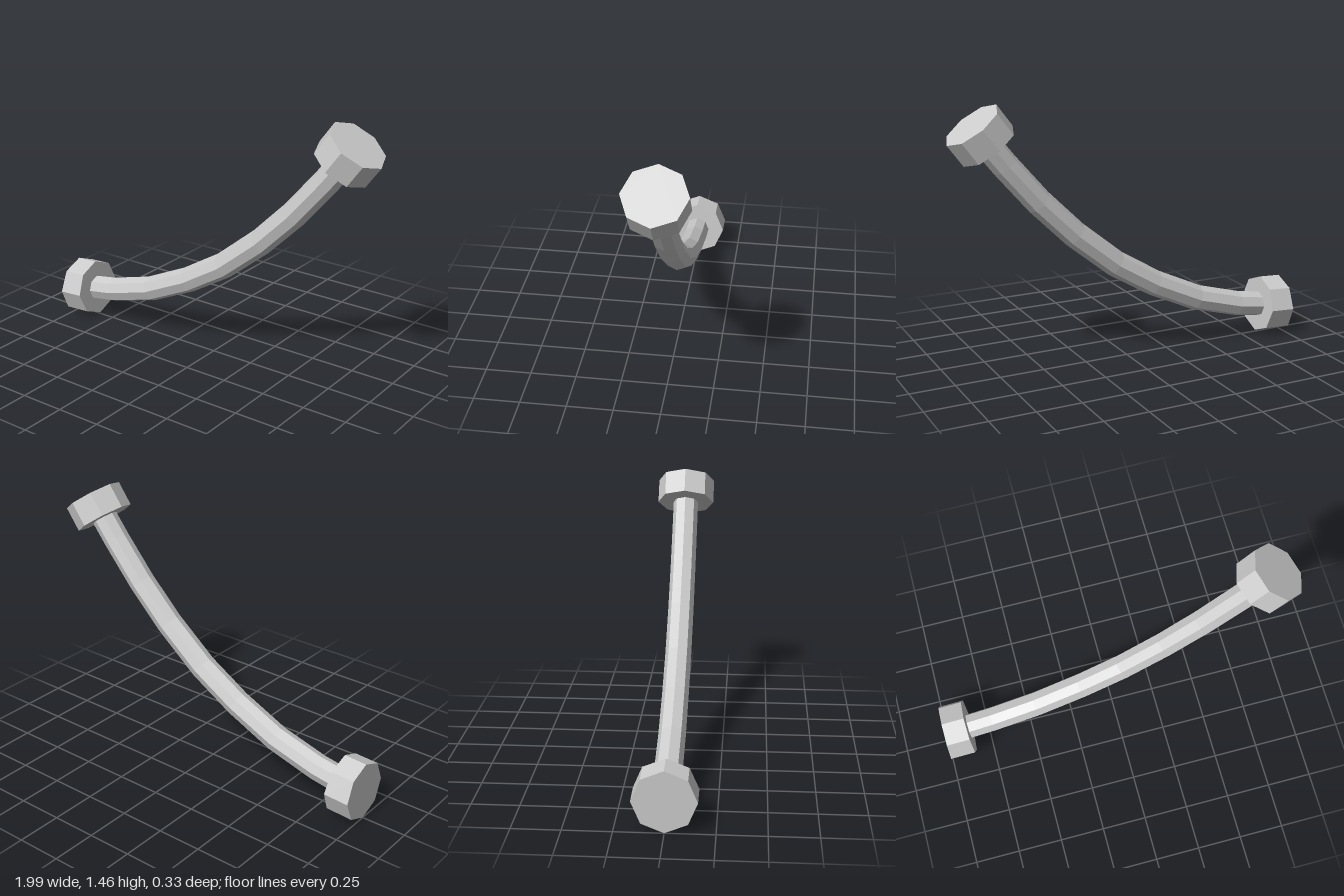
import * as THREE from 'three';

const SIDES = 8;

// Spine of the handle in the XY plane: x, y, heading in degrees
const SPINE = [
  [-1, 0.164, 0], [-0.858, 0.172, 4.5], [-0.71, 0.196, 11], [-0.44, 0.272, 20],
  [-0.17, 0.397, 28], [0.07, 0.542, 35], [0.308, 0.735, 42], [0.508, 0.932, 47],
  [0.692, 1.145, 51], [0.778, 1.253, 54.6], [0.862, 1.366, 54.6],
];

// Closed octagonal solid swept through the given spine stations
function sweep(name, stations, radius, material) {
  const pos = [], index = [];
  for (const [x, y, deg] of stations) {
    const t = THREE.MathUtils.degToRad(deg);
    for (let j = 0; j < SIDES; j++) {
      const a = (j / SIDES) * Math.PI * 2, u = radius * Math.cos(a);
      pos.push(x - Math.sin(t) * u, y + Math.cos(t) * u, radius * Math.sin(a));
    }
  }
  const last = (stations.length - 1) * SIDES;
  for (let i = 0; i < last; i += SIDES) {
    for (let j = 0; j < SIDES; j++) {
      const k = (j + 1) % SIDES;
      index.push(i + j, i + k, i + SIDES + j);
      index.push(i + k, i + SIDES + k, i + SIDES + j);
    }
  }
  // End faces
  for (let j = 1; j < SIDES - 1; j++) {
    index.push(0, j + 1, j);
    index.push(last, last + j, last + j + 1);
  }
  const indexed = new THREE.BufferGeometry();
  indexed.setAttribute('position', new THREE.Float32BufferAttribute(pos, 3));
  indexed.setIndex(index);
  const geometry = indexed.toNonIndexed();
  geometry.computeVertexNormals();
  const mesh = new THREE.Mesh(geometry, material);
  mesh.name = name;
  return mesh;
}

export function createModel() {
  const group = new THREE.Group();
  group.name = 'curvedHandle';
  const grey = new THREE.MeshStandardMaterial({ color: 0xcccccc, flatShading: true });
  group.add(
    sweep('lowerEndCap', SPINE.slice(0, 2), 0.163, grey),
    sweep('curvedBar', SPINE.slice(1, -1), 0.072, grey),
    sweep('upperEndCap', SPINE.slice(-2), 0.163, grey),
  );
  return group;
}
